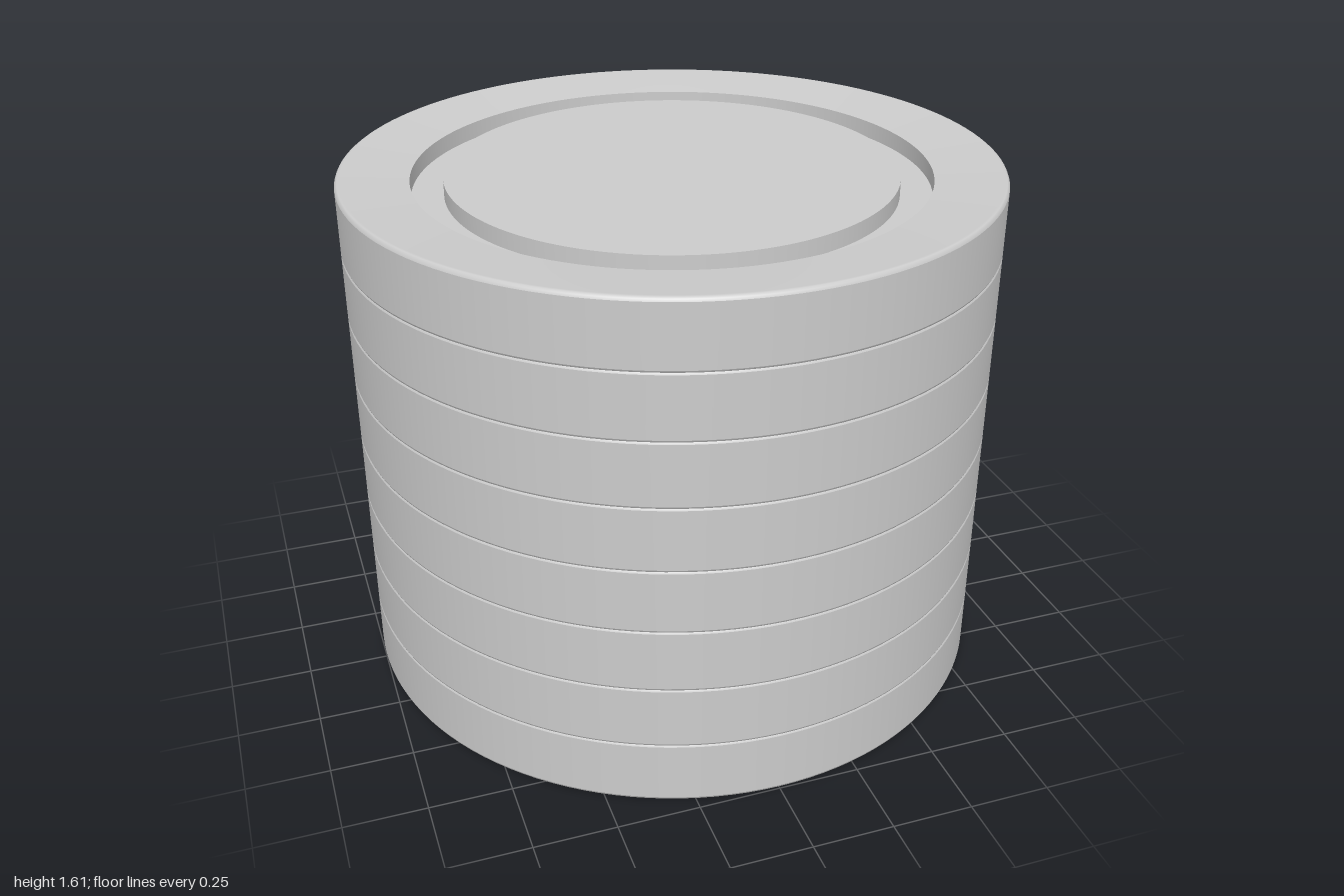
import * as THREE from 'three';

const COUNT = 8, PITCH = 0.2, HEIGHT = 0.214;

// Half profile of one face, from the axis to the outer side: [radius, depth below the rim].
// Repeated points keep an edge sharp.
const FACE = [
  [0, 0.022], [0.685, 0.022], [0.685, 0.022],   // raised centre
  [0.685, 0.075], [0.685, 0.075],               // groove
  [0.783, 0.075], [0.783, 0.075],
  [0.783, 0.022], [0.783, 0.022],               // gently sloping rim
  [0.985, 0.001], [0.992, 0.002], [0.997, 0.006], [1, 0.013], [1, 0.013],
];

function discGeometry() {
  const bottom = FACE.map(([r, d]) => new THREE.Vector2(r, d));
  const top = FACE.map(([r, d]) => new THREE.Vector2(r, HEIGHT - d)).reverse();
  return new THREE.LatheGeometry([...bottom, ...top], 128);
}

export function createModel() {
  const group = new THREE.Group();
  group.name = 'discStack';
  const geometry = discGeometry();
  const material = new THREE.MeshStandardMaterial({ color: 0xcccccc });

  // Identical discs stacked so that their rounded edges form thin seams
  for (let i = 0; i < COUNT; i++) {
    const disc = new THREE.Mesh(geometry, material);
    disc.name = `disc${i + 1}`;
    disc.position.y = i * PITCH;
    group.add(disc);
  }
  return group;
}
